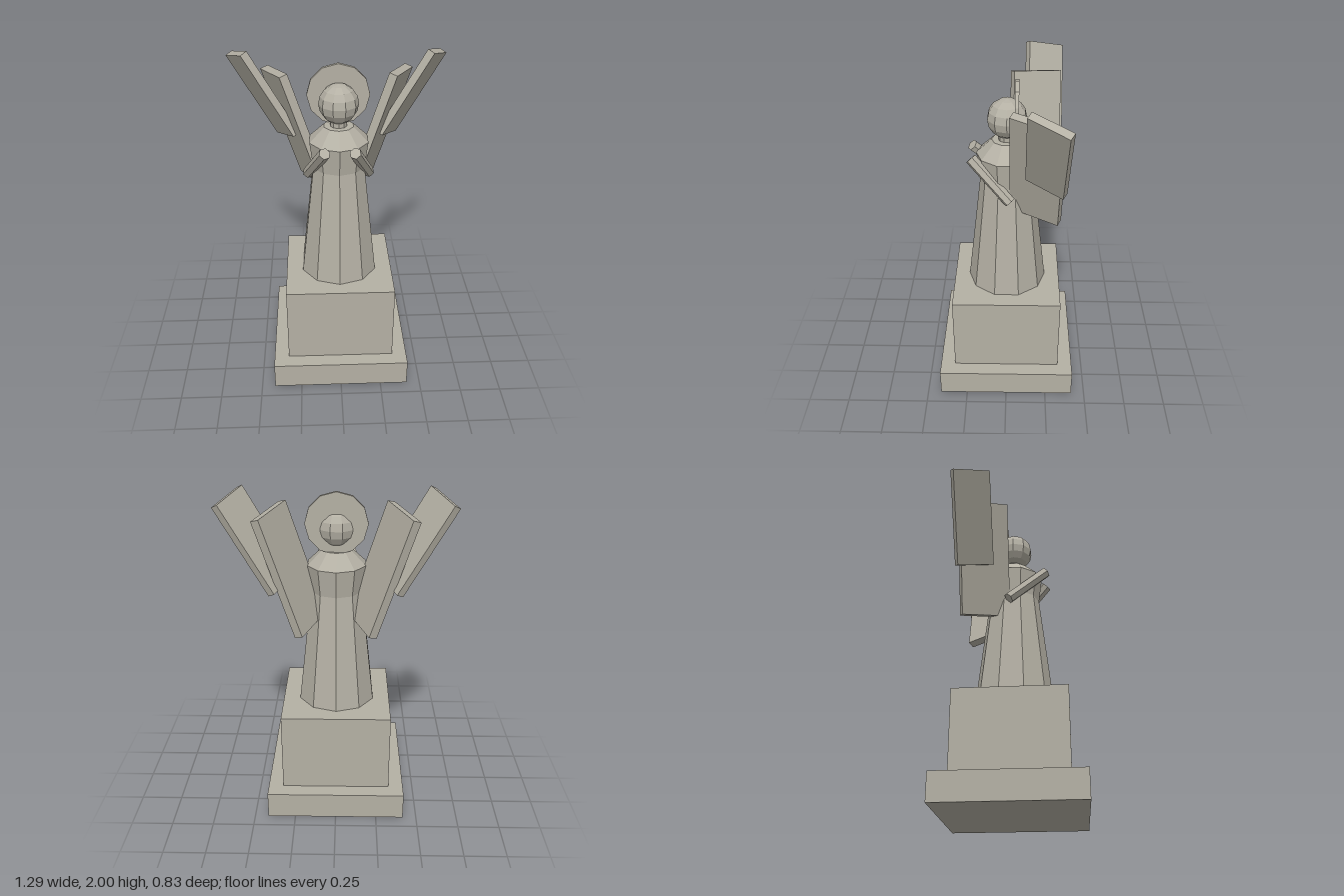
import * as THREE from 'three';

export function createModel() {
  const model = new THREE.Group();
  model.name = 'wingedStatue';
  const stone = new THREE.MeshStandardMaterial({ color: 0xb4b0a4, flatShading: true });
  stone.name = 'stone';

  const add = (name, geometry, x, y, z) => {
    const mesh = new THREE.Mesh(geometry, stone);
    mesh.name = name;
    mesh.position.set(x, y, z);
    model.add(mesh);
    return mesh;
  };

  // Frustum standing between two heights
  const frustum = (name, rTop, rBottom, y0, y1, sides = 10) =>
    add(name, new THREE.CylinderGeometry(rTop, rBottom, y1 - y0, sides), 0, (y0 + y1) / 2, 0);

  // Stepped pedestal
  add('plinth', new THREE.BoxGeometry(0.835, 0.165, 0.835), 0, 0.0825, 0);
  add('pedestal', new THREE.BoxGeometry(0.655, 0.49, 0.655), 0, 0.41, 0);

  // Robed body
  frustum('robe', 0.157, 0.238, 0.655, 1.36);
  frustum('chest', 0.177, 0.157, 1.36, 1.52);
  frustum('shoulders', 0.088, 0.177, 1.52, 1.605);
  frustum('neck', 0.05, 0.05, 1.6, 1.65);

  // Head and halo disc
  add('head', new THREE.SphereGeometry(0.115, 10, 8), 0, 1.735, 0);
  const halo = add('halo', new THREE.CylinderGeometry(0.18, 0.18, 0.022, 12), 0, 1.77, -0.055);
  halo.rotation.x = Math.PI / 2;

  // Slab feather, rolled outwards and swept back
  const feather = (name, side, size, pos, roll, sweep) => {
    const mesh = add(name, new THREE.BoxGeometry(...size), side * pos[0], pos[1], pos[2]);
    mesh.rotation.set(
      0,
      THREE.MathUtils.degToRad(-side * sweep),
      THREE.MathUtils.degToRad(-side * roll),
      'ZYX'
    );
  };

  for (const side of [1, -1]) {
    const label = side > 0 ? 'left' : 'right';

    // Two overlapping slabs form each wing
    feather(label + 'InnerWing', side, [0.05, 0.708, 0.305], [0.257, 1.534, -0.165], 18, 25);
    feather(label + 'OuterWing', side, [0.045, 0.565, 0.237], [0.437, 1.715, -0.217], 29.5, 31);

    // Forearm raised towards the front
    const elbow = new THREE.Vector3(side * 0.18, 1.294, -0.02);
    const hand = new THREE.Vector3(side * 0.085, 1.523, 0.204);
    const axis = hand.clone().sub(elbow);
    const centre = elbow.clone().add(hand).multiplyScalar(0.5);
    const arm = add(
      label + 'Arm',
      new THREE.CylinderGeometry(0.034, 0.034, axis.length(), 6),
      centre.x, centre.y, centre.z
    );
    arm.quaternion.setFromUnitVectors(new THREE.Vector3(0, 1, 0), axis.normalize());
  }

  return model;
}
